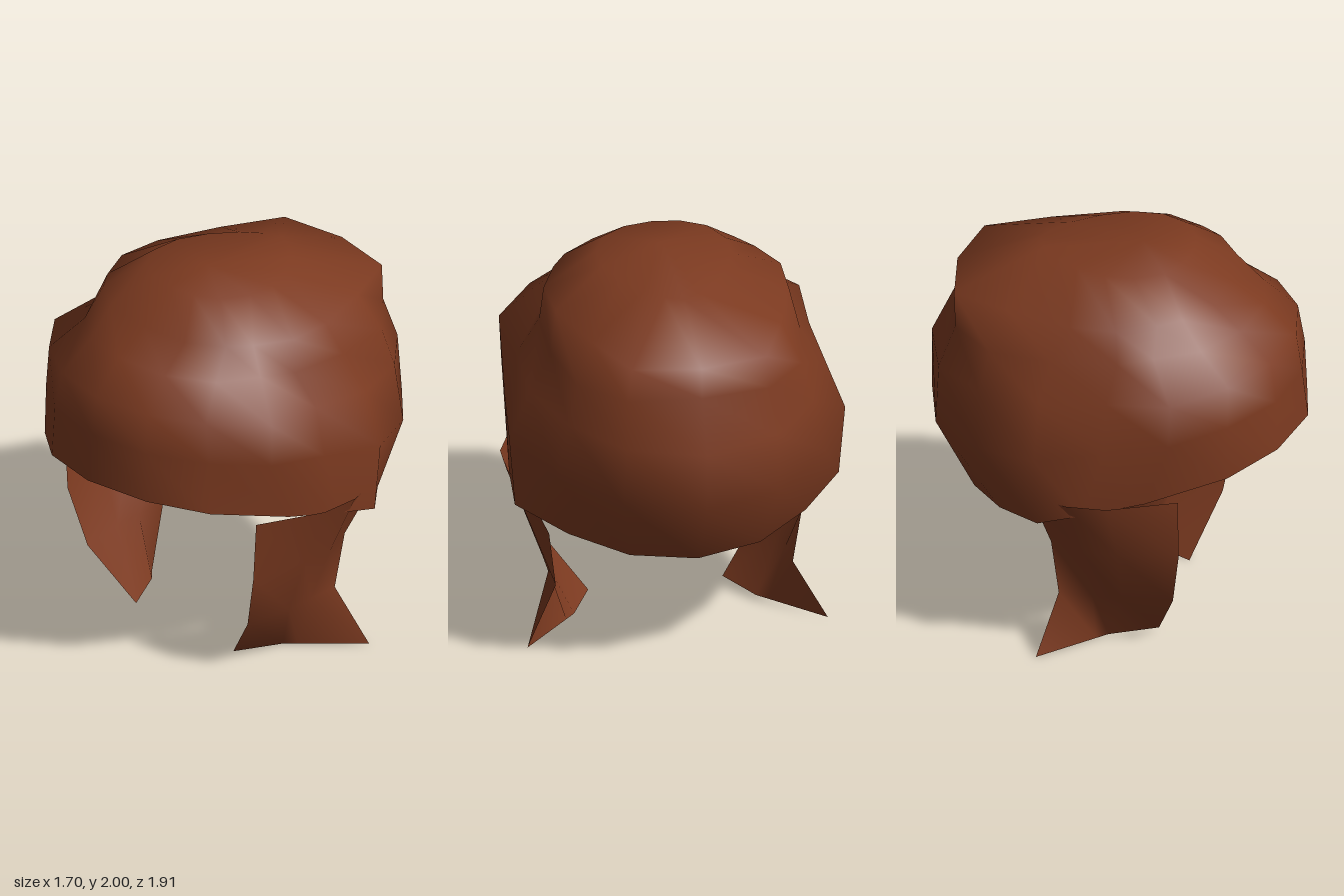
import * as THREE from 'three';

const leather = new THREE.MeshStandardMaterial({ color: 0x7c3a20, side: THREE.DoubleSide });
leather.name = 'brown leather';

// Smooth skin over rows of points, listed bottom to top
function skin(name, rows, closed) {
  const n = rows[0].length, index = [];
  for (let r = 0; r < rows.length - 1; r++) {
    for (let k = 0; k < (closed ? n : n - 1); k++) {
      const a = r * n + k, b = r * n + (k + 1) % n;
      if (rows[r + 1].length === 1) index.push(a, b, (r + 1) * n);
      else index.push(a, b, a + n, b, b + n, a + n);
    }
  }
  const geo = new THREE.BufferGeometry();
  geo.setAttribute('position', new THREE.Float32BufferAttribute(rows.flat(2), 3));
  geo.setIndex(index);
  geo.computeVertexNormals();
  const mesh = new THREE.Mesh(geo, leather);
  mesh.name = name;
  return mesh;
}

// Tilted cap rings: height at the front and back, sideways dip, half outline [x, z] front to back
const rim = { front: 1.11, back: 0.67, dip: 0, half: [[0, 0.96], [0.33, 0.88], [0.58, 0.68],
  [0.75, 0.3], [0.8, 0], [0.82, -0.23], [0.6, -0.47], [0.33, -0.66], [0, -0.73]] };
const brow = { front: 1.36, back: 1.05, dip: 0, half: [[0, 0.93], [0.32, 0.87], [0.57, 0.68],
  [0.75, 0.42], [0.8, 0.1], [0.85, -0.24], [0.68, -0.57], [0.4, -0.84], [0, -0.95]] };
const temple = { front: 1.56, back: 1.36, dip: 0, half: [[0, 0.9], [0.3, 0.84], [0.55, 0.68],
  [0.76, 0.43], [0.74, 0.1], [0.75, -0.24], [0.62, -0.57], [0.38, -0.83], [0, -0.95]] };
const notch = { front: 1.72, back: 1.62, dip: 0.07, half: [[0, 0.74], [0.26, 0.68], [0.46, 0.52],
  [0.55, 0.3], [0.62, 0.13], [0.63, -0.2], [0.57, -0.53], [0.36, -0.75], [0, -0.83]] };
const ledge = { front: 1.83, back: 1.78, dip: 0, half: [[0, 0.57], [0.26, 0.54], [0.43, 0.42],
  [0.51, 0.31], [0.6, 0.12], [0.59, -0.12], [0.48, -0.45], [0.34, -0.76], [0, -0.82]] };
const top = { front: 1.98, back: 1.95, dip: 0, half: [[0, 0.38], [0.14, 0.36], [0.26, 0.29],
  [0.33, 0.15], [0.33, 0], [0.27, -0.15], [0.18, -0.28], [0.09, -0.36], [0, -0.4]] };

function capShell() {
  const rows = [rim, brow, temple, notch, ledge, top].map(({ front, back, dip, half }) => {
    const zf = half[0][1], zb = half.at(-1)[1];
    const mirrored = half.slice(1, -1).reverse().map(([x, z]) => [-x, z]);
    return [...half, ...mirrored].map(([x, z]) =>
      [x, THREE.MathUtils.mapLinear(z, zb, zf, back, front) - dip * Math.abs(x), z]);
  });
  rows.push([[0, 2, 0.12]]); // crown
  return skin('capShell', rows, true);
}

// Ear flap: height, then [x, z] from front to back
const flapRows = [
  [0, [[0.34, 0.28], [0.46, 0.05], [0.51, 0], [0.76, -0.25]]],
  [0.29, [[0.56, 0.4], [0.6, 0.15], [0.6, 0], [0.6, -0.17]]],
  [0.6, [[0.65, 0.45], [0.71, 0.15], [0.71, -0.03], [0.64, -0.2]]],
  [0.92, [[0.67, 0.45], [0.82, 0.12], [0.83, -0.08], [0.78, -0.27]]],
];

function earFlap(name, side) {
  const rows = flapRows.map(([y, pts]) => {
    const row = pts.map(([x, z]) => [side * x, y, z]);
    return side > 0 ? row : row.reverse();
  });
  return skin(name, rows, false);
}

export function createModel() {
  const group = new THREE.Group();
  group.name = 'flappedCap';
  group.add(capShell(), earFlap('leftEarFlap', 1), earFlap('rightEarFlap', -1));
  return group;
}
